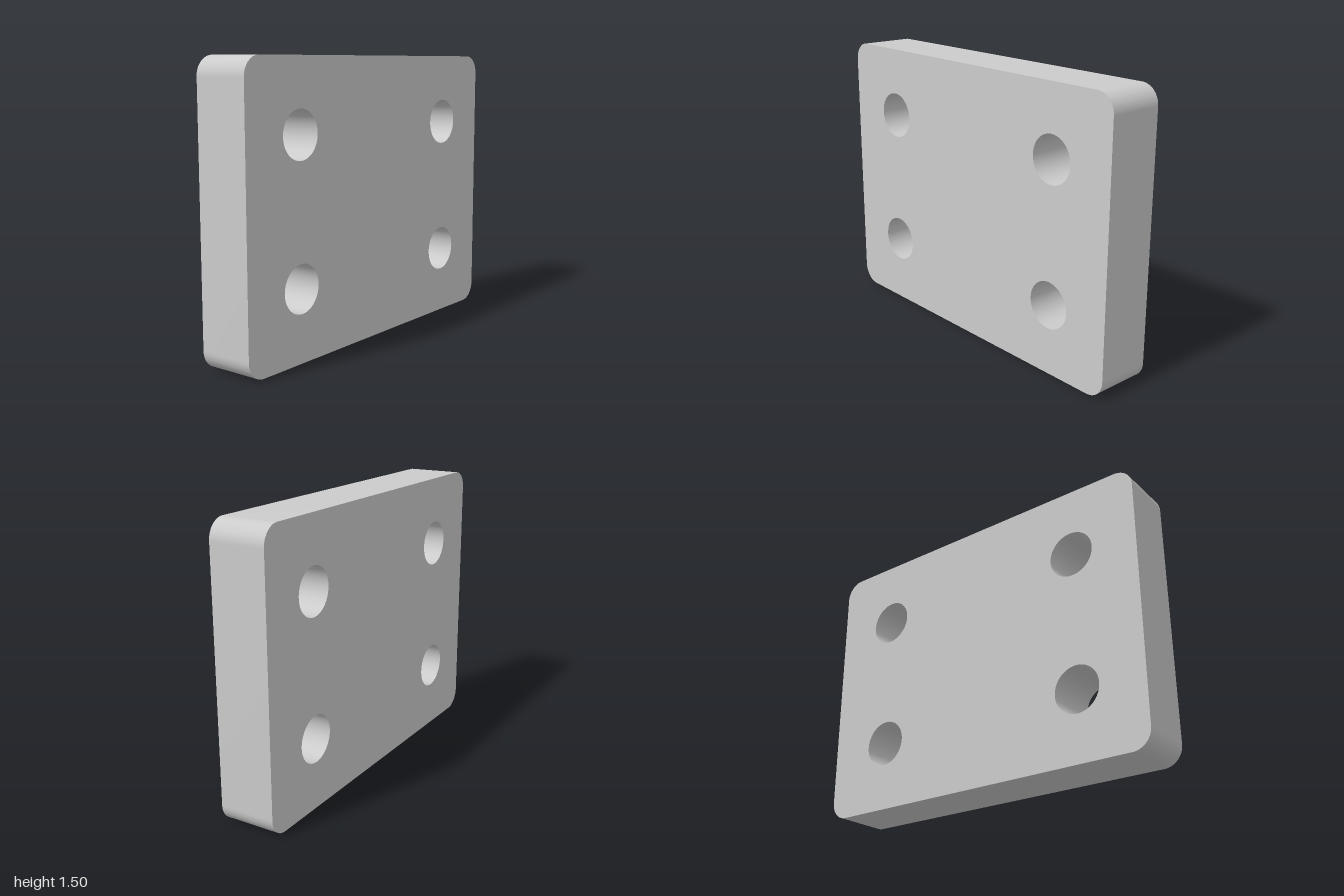
import * as THREE from 'three';
import { toCreasedNormals } from 'three/addons/utils/BufferGeometryUtils.js';

const WIDTH = 2, HEIGHT = 1.5, DEPTH = 0.3, CORNER = 0.1;
const HOLE_RADIUS = 0.125, HOLE_X = 0.625, HOLE_Y = [0.375, 1.125];

// Rounded rectangle standing on y = 0, traced counter-clockwise
function plateOutline() {
  const x = WIDTH / 2 - CORNER, top = HEIGHT - CORNER, q = Math.PI / 2;
  const shape = new THREE.Shape();
  [[x, top], [-x, top], [-x, CORNER], [x, CORNER]].forEach(([cx, cy], i) =>
    shape.absarc(cx, cy, CORNER, i * q, (i + 1) * q, false));
  shape.closePath();
  return shape;
}

export function createModel() {
  const group = new THREE.Group();
  group.name = 'mountingPlate';

  // Four through holes, one near each corner
  const shape = plateOutline();
  for (const x of [-HOLE_X, HOLE_X]) {
    for (const y of HOLE_Y) {
      shape.holes.push(new THREE.Path().absarc(x, y, HOLE_RADIUS, 0, Math.PI * 2, true));
    }
  }

  // Plate with sharp face edges and smooth corners and bores
  const geometry = new THREE.ExtrudeGeometry(shape, { depth: DEPTH, bevelEnabled: false, curveSegments: 32 });
  geometry.translate(0, 0, -DEPTH / 2);
  const plate = new THREE.Mesh(
    toCreasedNormals(geometry, 0.6),
    new THREE.MeshStandardMaterial({ color: 0xcccccc }));
  plate.name = 'plate';
  group.add(plate);
  return group;
}
